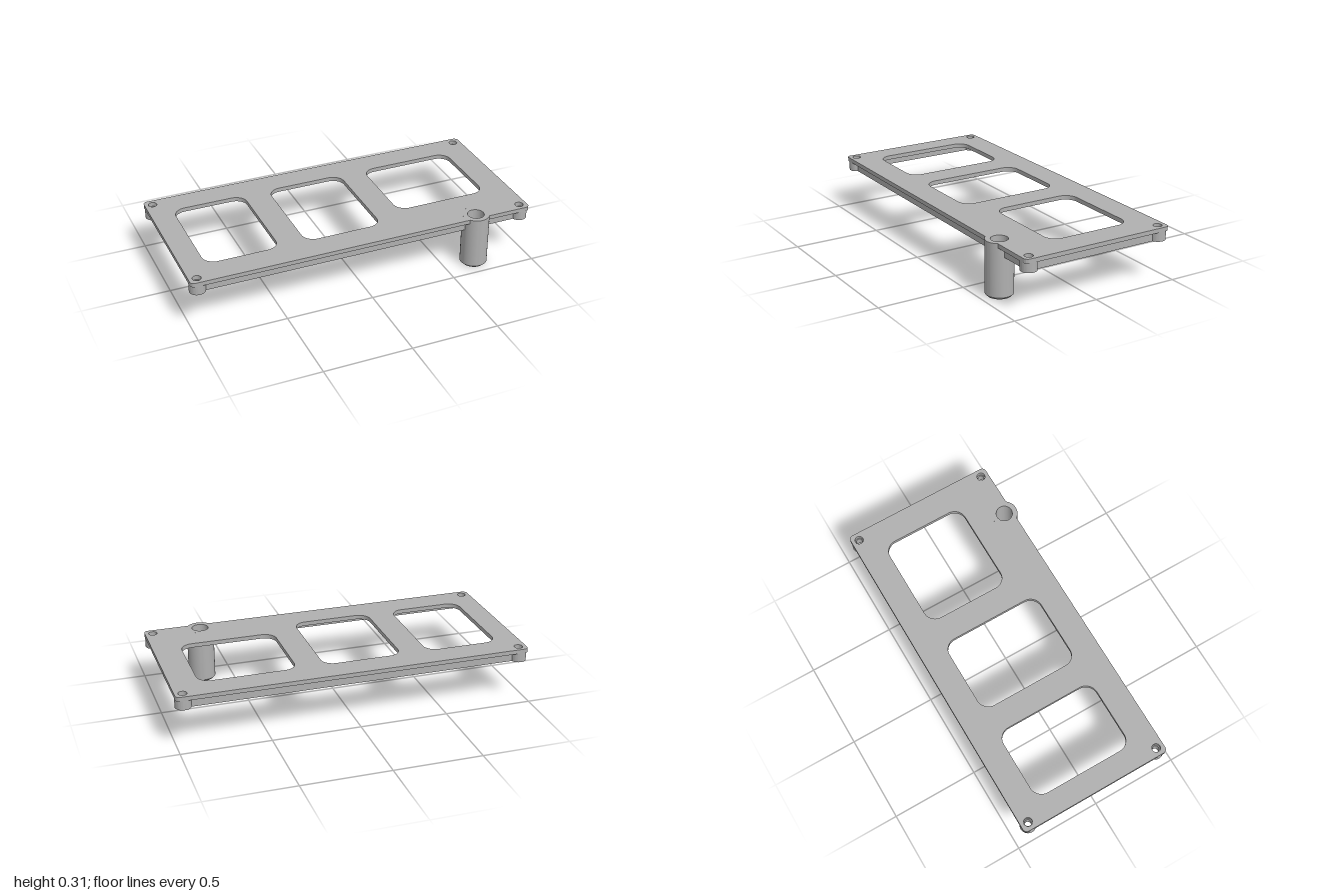
import * as THREE from 'three';
import { toCreasedNormals } from 'three/addons/utils/BufferGeometryUtils.js';

const grey = new THREE.MeshStandardMaterial({ color: 0xb0b0b0 });
grey.name = 'plain grey';

// Heights of the layers and outline of the plate
const TOP = 0.312, UNDER = 0.288, RIB = 0.235;
const BACK = -0.465, FRONT = 0.435;
const peg = { x: 0.68, z: 0.388, r: 0.077 };

export function createModel() {
  const model = new THREE.Group();
  model.name = 'mountingPlate';

  const add = (name, geometry, x = 0, y = 0, z = 0) => {
    const mesh = new THREE.Mesh(geometry, grey);
    mesh.name = name;
    mesh.position.set(x, y, z);
    model.add(mesh);
  };

  // Shapes are drawn in plan with shape y = -z, then laid flat
  const slab = (shape, height) => {
    const g = new THREE.ExtrudeGeometry(shape, { depth: height, bevelEnabled: false, curveSegments: 20 });
    return toCreasedNormals(g.rotateX(-Math.PI / 2), 0.6);
  };
  const circle = (x, z, r) => new THREE.Path().absarc(x, -z, r, 0, Math.PI * 2, true);
  const box = (name, x0, x1, z0, z1) => add(name,
    new THREE.BoxGeometry(x1 - x0, UNDER - RIB, z1 - z0), (x0 + x1) / 2, (UNDER + RIB) / 2, (z0 + z1) / 2);
  const tube = (profile) => toCreasedNormals(
    new THREE.LatheGeometry(profile.map(([r, y]) => new THREE.Vector2(r, y)), 48), 0.4);

  const rounded = (path, x0, x1, z0, z1, r) => {
    const y0 = -z1, y1 = -z0, q = Math.PI / 2;
    path.absarc(x1 - r, y0 + r, r, -q, 0, false);
    path.absarc(x1 - r, y1 - r, r, 0, q, false);
    path.absarc(x0 + r, y1 - r, r, q, 2 * q, false);
    path.absarc(x0 + r, y0 + r, r, 2 * q, 3 * q, false);
    return path;
  };

  // Plate with a notch where the peg breaks through the front edge
  const outline = rounded(new THREE.Shape(), -1, 1, BACK, FRONT, 0.025);
  const a = Math.asin((FRONT - peg.z) / peg.r);
  outline.absarc(peg.x, -peg.z, peg.r, Math.PI + a, -a, true);
  outline.closePath();

  // Three rounded windows
  [[-0.87, -0.45, 0.28], [-0.3, 0.15, 0.28], [0.3, 0.845, 0.18]].forEach(([x0, x1, z1]) => {
    const hole = rounded(new THREE.Path(), x0, x1, -0.315, z1, 0.07);
    hole.closePath();
    outline.holes.push(hole);
  });

  // Corner posts with screw holes
  const px = 0.955, zf = 0.39, zb = -0.42, pr = 0.045;
  for (const x of [-px, px]) for (const z of [zb, zf]) {
    outline.holes.push(circle(x, z, 0.024));
    add('cornerPost', tube([[0.018, RIB], [pr, RIB], [pr, UNDER], [0.018, UNDER], [0.018, RIB]]), x, 0, z);
  }
  add('plate', slab(outline, TOP - UNDER), 0, UNDER, 0);

  // Stiffening ribs under the rim, stopping at the posts and the peg
  const t = 0.015, end = px - 0.03;
  box('backRib', -end, end, zb - t, zb + t);
  box('frontRib', -end, peg.x - 0.07, zf - t, zf + t);
  box('frontRib', peg.x + 0.07, end, zf - t, zf + t);
  for (const x of [-px, px]) box('sideRib', x - t, x + t, zb + 0.03, zf - 0.03);

  // Pad that ties the peg to the plate
  const pad = new THREE.Shape();
  pad.moveTo(0.55, -0.4);
  pad.lineTo(0.85, -0.4);
  pad.lineTo(0.85, -0.3);
  pad.lineTo(0.55, -0.3);
  pad.closePath();
  // The front edge of the pad follows the peg
  const cut = new THREE.Shape();
  const b = Math.asin((0.4 - peg.z) / 0.075);
  cut.moveTo(0.55, -0.4);
  cut.absarc(peg.x, -peg.z, 0.075, Math.PI + b, -b, true);
  cut.lineTo(0.85, -0.4);
  cut.lineTo(0.85, -0.3);
  cut.lineTo(0.55, -0.3);
  cut.closePath();
  add('pegPad', slab(cut, UNDER - RIB), 0, RIB, 0);

  // Hollow peg: chamfered foot, wide bore above, small screw hole below
  add('peg', tube([
    [0.022, 0], [0.064, 0], [peg.r, 0.013], [peg.r, TOP],
    [0.047, TOP], [0.047, 0.06], [0.022, 0.06], [0.022, 0],
  ]), peg.x, 0, peg.z);

  return model;
}
